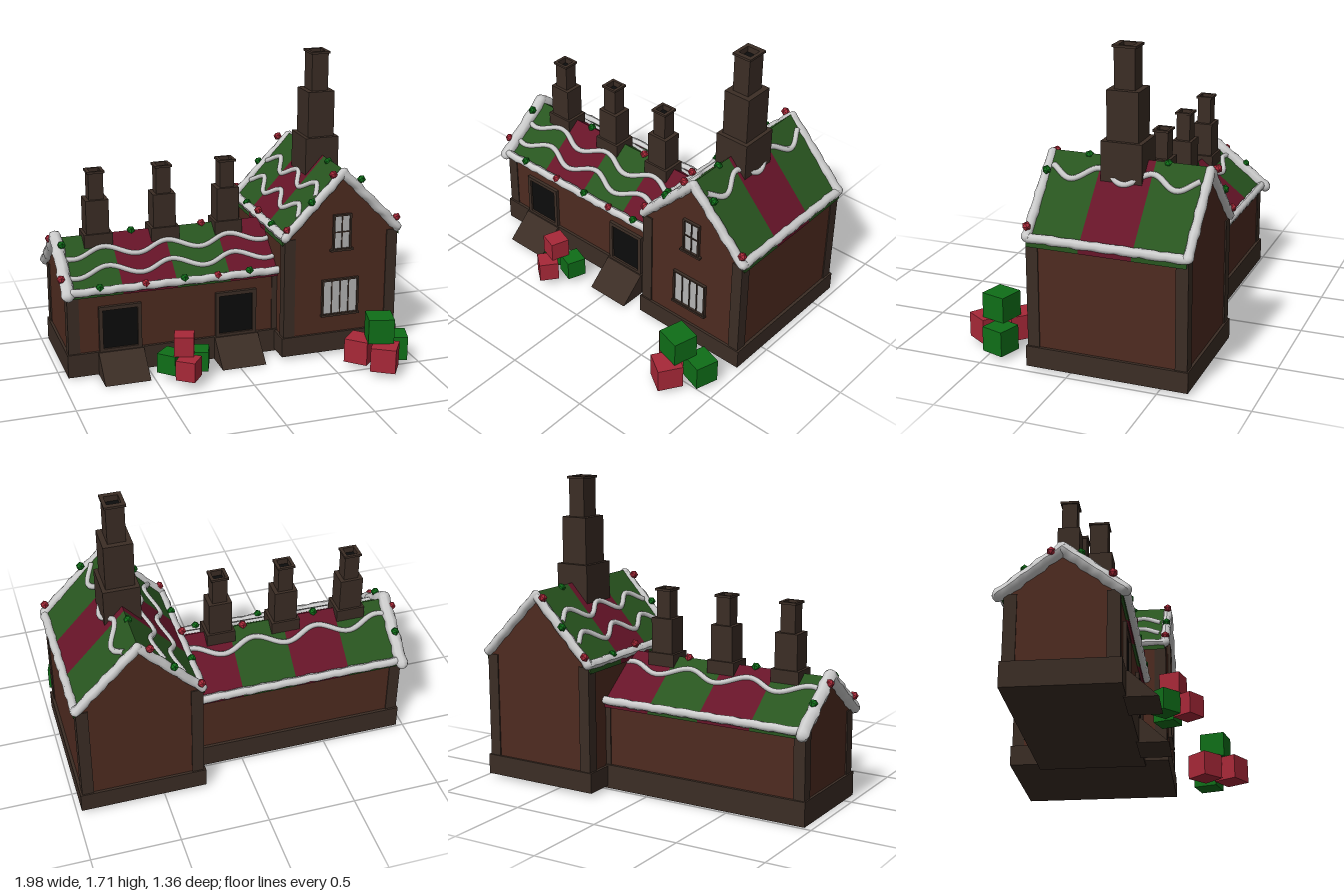
import * as THREE from 'three';

const mat = (color, flat = true) => new THREE.MeshStandardMaterial({ color, flatShading: flat });
const M = {
  brick: mat(0x4e2b20), wood: mat(0x3b2d25), dark: mat(0x0c0c0c), pane: mat(0xb4b4b4),
  roofGreen: mat(0x28551f), roofRed: mat(0x661428), icing: mat(0xd4d4d4, false),
  red: mat(0xa82838), green: mat(0x0f6e18),
};

function add(parent, name, geo, material, x = 0, y = 0, z = 0) {
  const m = new THREE.Mesh(geo, material);
  m.name = name;
  m.position.set(x, y, z);
  parent.add(m);
  return m;
}

// Box given by its minimum and maximum corners
function span(parent, name, material, [x0, y0, z0], [x1, y1, z1]) {
  return add(parent, name, new THREE.BoxGeometry(x1 - x0, y1 - y0, z1 - z0), material,
    (x0 + x1) / 2, (y0 + y1) / 2, (z0 + z1) / 2);
}

function prism(points, depth) {
  const shape = new THREE.Shape(points.map(p => new THREE.Vector2(...p)));
  return new THREE.ExtrudeGeometry(shape, { depth, bevelEnabled: false });
}

// Lumpy icing bar between two points
function icingBar(parent, name, a, b, r) {
  const A = new THREE.Vector3(...a), B = new THREE.Vector3(...b);
  const dir = B.clone().sub(A), len = dir.length();
  const geo = new THREE.CapsuleGeometry(r, len, 3, 8, Math.round(len / 0.035));
  const p = geo.attributes.position;
  for (let i = 0; i < p.count; i++) {
    const y = p.getY(i), ang = Math.atan2(p.getZ(i), p.getX(i));
    const k = 1 + 0.1 * Math.sin(y * 47 + Math.cos(ang) * 2) + 0.07 * Math.sin(y * 83 + Math.sin(ang) * 3);
    p.setX(i, p.getX(i) * k);
    p.setZ(i, p.getZ(i) * k);
  }
  geo.computeVertexNormals();
  const m = add(parent, name, geo, M.icing, ...A.add(B).multiplyScalar(0.5).toArray());
  m.quaternion.setFromUnitVectors(new THREE.Vector3(0, 1, 0), dir.normalize());
}

// House with its ridge along local z; w = half width, h = half length
function house(name, { w, h, eave, ridge, baseY, baseTop, bands, waves, period }) {
  const g = new THREE.Group();
  g.name = name;
  const slope = (ridge - eave) / w, ww = w - 0.017, t = 0.03;
  const wallY = ridge - t / 2 - slope * ww;
  add(g, name + 'Walls', prism([[-ww, baseY + 0.01], [ww, baseY + 0.01], [ww, wallY], [0, ridge - t / 2], [-ww, wallY]],
    2 * h), M.brick, 0, 0, -h);
  span(g, name + 'Base', M.wood, [-w, baseY, -h - 0.015], [w, baseTop, h + 0.015]);
  for (const sx of [-1, 1]) for (const sz of [-1, 1])
    add(g, 'cornerPost', new THREE.BoxGeometry(0.066, wallY - baseY, 0.066), M.wood,
      sx * (ww - 0.027), (wallY + baseY) / 2, sz * (h - 0.026));
  // Coloured roof bands
  const d = 2 * h / bands.length;
  bands.forEach((m, i) => add(g, 'roofBand', prism([[-w, eave - t], [0, ridge - t], [w, eave - t], [w, eave],
    [0, ridge], [-w, eave]], d), m, 0, 0, -h + i * d));
  // Wavy icing ropes lying on the slopes
  for (const x0 of waves) {
    const pts = [];
    for (let i = 0; i <= 48; i++) {
      const z = -h + 0.03 + (2 * h - 0.06) * i / 48;
      const x = x0 + 0.026 * Math.cos(2 * Math.PI * z / period);
      pts.push(new THREE.Vector3(x, ridge - slope * Math.abs(x) + 0.003, z));
    }
    add(g, 'icingWave', new THREE.TubeGeometry(new THREE.CatmullRomCurve3(pts), 60, 0.016, 6), M.icing);
  }
  return g;
}

// Stepped hollow chimney; steps are [width, depth, top height]
function chimney(parent, x, z, y0, steps) {
  const g = new THREE.Group();
  g.name = 'chimney';
  g.position.set(x, 0, z);
  parent.add(g);
  let y = y0;
  const ring = (w, d, hole, height, yy, name) => {
    const s = new THREE.Shape([[-w, -d], [w, -d], [w, d], [-w, d]].map(p => new THREE.Vector2(p[0] / 2, p[1] / 2)));
    s.holes.push(new THREE.Path([[-1, -1], [-1, 1], [1, 1], [1, -1]].map(p => new THREE.Vector2(p[0] * hole, p[1] * hole))));
    const geo = new THREE.ExtrudeGeometry(s, { depth: height, bevelEnabled: false });
    add(g, name, geo.rotateX(-Math.PI / 2), M.wood, 0, yy, 0);
  };
  steps.forEach(([w, d, top], i) => {
    if (i < 2) span(g, 'chimneyStep', M.wood, [-w / 2, y, -d / 2], [w / 2, top, d / 2]);
    else {
      const hole = w * 0.38;
      ring(w, d, hole, top - y, y, 'chimneyFlue');
      ring(w + 0.016, d + 0.016, hole, 0.013, top - 0.01, 'chimneyRim');
      span(g, 'flueInside', M.dark, [-hole, y, -hole], [hole, top - 0.03, hole]);
    }
    y = top;
  });
}

// Framed opening on a front wall at depth z
function opening(parent, name, x0, x1, y0, y1, z, fill, f, cols = 1, rows = 1) {
  const g = new THREE.Group();
  g.name = name;
  parent.add(g);
  span(g, name + 'Pane', fill, [x0, y0, z - 0.01], [x1, y1, z + 0.006]);
  for (const x of [x0 - f, x1]) span(g, 'frameSide', M.wood, [x, y0 - f, z - 0.01], [x + f, y1 + f, z + 0.018]);
  for (const y of [y0 - f, y1]) span(g, 'frameRail', M.wood, [x0, y, z - 0.01], [x1, y + f, z + 0.018]);
  for (let i = 1; i < cols; i++) {
    const x = x0 + (x1 - x0) * i / cols;
    span(g, 'mullion', M.wood, [x - 0.003, y0, z], [x + 0.003, y1, z + 0.012]);
  }
  for (let i = 1; i < rows; i++) {
    const y = y0 + (y1 - y0) * i / rows;
    span(g, 'mullion', M.wood, [x0, y - 0.003, z], [x1, y + 0.003, z + 0.012]);
  }
}

export function createModel() {
  const root = new THREE.Group();
  root.name = 'gingerbreadHouse';
  const { roofGreen: G, roofRed: R } = M;

  // Long low wing, ridge along x
  const wing = house('wing', { w: 0.3, h: 0.625, eave: 0.5, ridge: 0.735, baseY: 0.005, baseTop: 0.14,
    bands: [G, R, G, R], waves: [-0.2, -0.1, 0.09], period: 0.37 });
  wing.rotation.y = Math.PI / 2;
  wing.position.set(-0.32, 0, -0.195);
  root.add(wing);

  // Tall house, ridge along z
  const tall = house('tallHouse', { w: 0.357, h: 0.433, eave: 0.72, ridge: 1.11, baseY: 0.018, baseTop: 0.132,
    bands: [G, R, G], waves: [-0.235, -0.13, 0.08], period: 0.29 });
  tall.position.set(0.617, 0, -0.21);
  root.add(tall);

  // Icing along eaves and gables
  for (const z of [0.115, -0.495]) icingBar(root, 'wingEaveIcing', [-0.92, 0.51, z], [0.27, 0.51, z], 0.024);
  for (const z of [0.115, -0.51]) icingBar(root, 'wingGableIcing', [-0.945, 0.5, z], [-0.945, 0.74, -0.195], 0.036);
  for (const x of [0.275, 0.96]) {
    icingBar(root, 'tallEaveIcing', [x, 0.735, -0.64], [x, 0.735, 0.22], 0.026);
    for (const z of [0.225, -0.645]) icingBar(root, 'tallGableIcing', [x, 0.74, z], [0.617, 1.09, z], 0.027);
  }

  // Chimneys
  for (const x of [-0.715, -0.325, 0.055])
    chimney(root, x, -0.192, 0.62, [[0.165, 0.14, 0.755], [0.132, 0.115, 0.95], [0.085, 0.08, 1.112]]);
  chimney(root, 0.615, -0.2, 0.98, [[0.203, 0.225, 1.215], [0.16, 0.175, 1.48], [0.1, 0.115, 1.705]]);

  // Doorways with wedge ramps
  for (const x of [-0.655, 0.025]) {
    opening(root, 'doorway', x - 0.1, x + 0.1, 0.155, 0.385, 0.09, M.dark, 0.022);
    const ramp = add(root, 'ramp', prism([[-0.265, 0], [-0.09, 0], [-0.09, 0.138], [-0.115, 0.138]], 0.26),
      M.wood, x - 0.13, 0, 0);
    ramp.rotation.y = Math.PI / 2;
  }

  // Tall house windows
  opening(root, 'upperWindow', 0.572, 0.663, 0.645, 0.838, 0.222, M.pane, 0.01, 2, 2);
  opening(root, 'lowerWindow', 0.512, 0.718, 0.25, 0.45, 0.222, M.pane, 0.01, 4, 1);
  span(root, 'upperSill', M.wood, [0.547, 0.63, 0.21], [0.686, 0.642, 0.245]);
  span(root, 'lowerSill', M.wood, [0.498, 0.236, 0.21], [0.732, 0.248, 0.245]);

  // Baubles
  const bauble = (m, x, y, z) => add(root, 'bauble', new THREE.IcosahedronGeometry(0.025, 0), m, x, y, z);
  [[-0.972, 0.58, 0.06], [-0.972, 0.715, -0.25], [-0.51, 0.525, 0.12], [-0.09, 0.525, 0.12], [-0.09, 0.735, -0.195],
    [0.265, 0.775, -0.2], [0.955, 0.795, 0.225]].forEach(p => bauble(M.red, ...p));
  [[-0.93, 0.72, -0.105], [-0.945, 0.635, -0.385], [-0.77, 0.53, 0.12], [-0.285, 0.53, 0.12], [0.1, 0.53, 0.12],
    [-0.51, 0.735, -0.195], [0.27, 0.755, -0.42], [0.27, 0.755, 0.015], [0.612, 1.1, -0.42], [0.612, 1.1, 0.015],
    [0.738, 1.035, 0.205]].forEach(p => bauble(M.green, ...p));
  for (const z of [0.228, -0.665]) {
    bauble(M.red, 0.284, 0.785, z);
    bauble(M.green, 0.43, 0.935, z);
    bauble(M.red, 0.555, 1.085, z);
  }

  // Gift boxes: colour, x, z, bottom, width, height, turn
  [[M.green, -0.41, 0.265, 0.045, 0.115, 0.115, -0.78], [M.green, -0.25, 0.27, 0.045, 0.112, 0.115, -0.35],
    [M.red, -0.343, 0.385, 0.045, 0.112, 0.115, -0.65], [M.red, -0.345, 0.307, 0.16, 0.11, 0.113, -0.32],
    [M.red, 0.663, 0.425, 0.03, 0.138, 0.14, -0.78], [M.green, 0.872, 0.437, 0.03, 0.135, 0.14, -0.3],
    [M.red, 0.75, 0.575, 0.03, 0.142, 0.14, -0.57], [M.green, 0.752, 0.486, 0.17, 0.145, 0.143, -0.26],
  ].forEach(([m, x, z, y, s, h, turn]) => {
    add(root, 'giftBox', new THREE.BoxGeometry(s, h, s), m, x, y + h / 2, z).rotation.y = turn;
  });
  return root;
}
